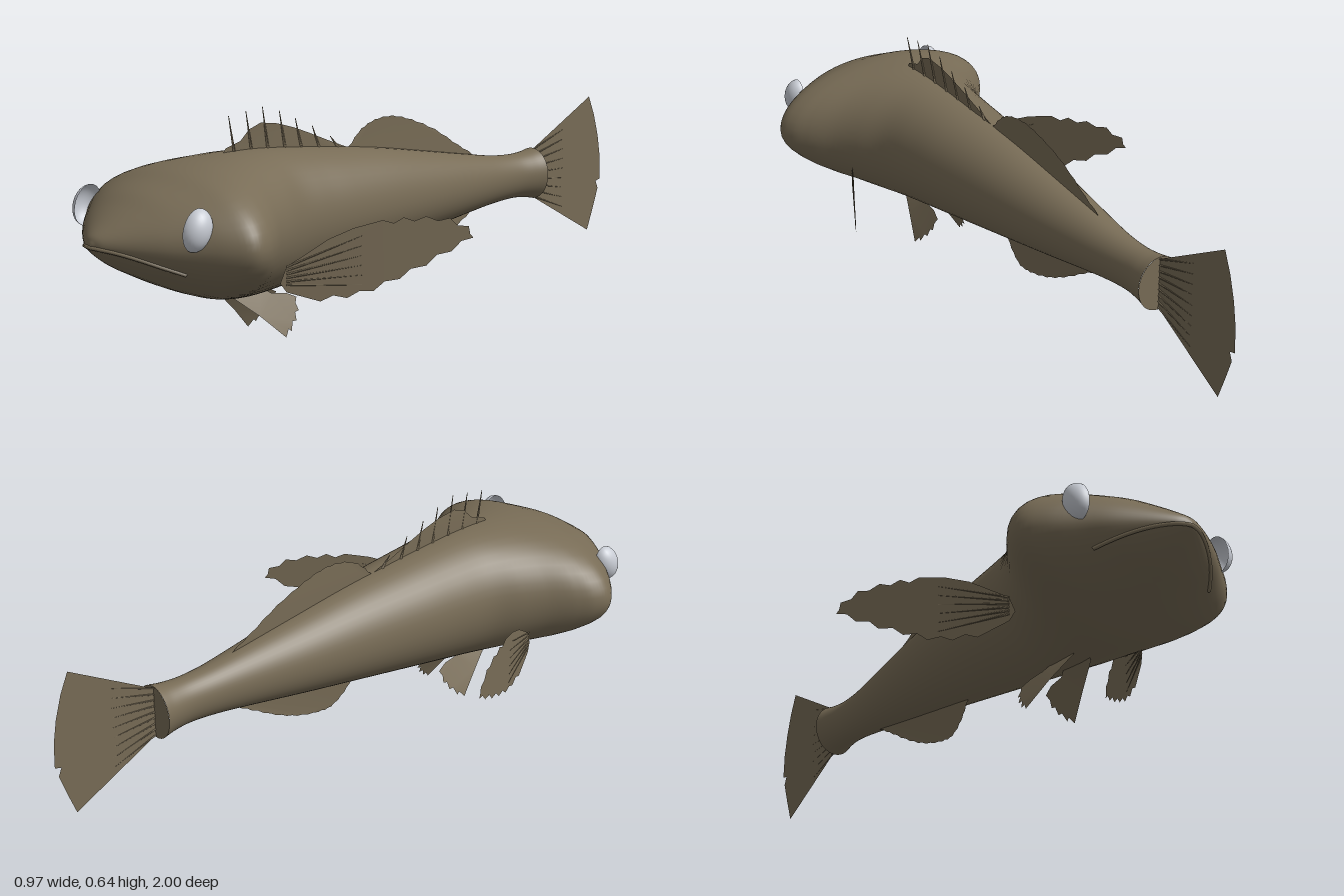
import * as THREE from 'three';
import { ParametricGeometry } from 'three/addons/geometries/ParametricGeometry.js';

const skin = new THREE.MeshStandardMaterial({ color: 0x786c56 });
skin.name = 'olive brown skin';
const finSkin = new THREE.MeshStandardMaterial({ color: 0x786c56, side: THREE.DoubleSide });
finSkin.name = 'olive brown fin';
const eyeWhite = new THREE.MeshStandardMaterial({ color: 0xc8ccd4, side: THREE.DoubleSide });
eyeWhite.name = 'silver eye';

// Body stations, tail to nose: z, half width, top, bottom
const MID = 0.333;
const stations = [
  [-0.68, 0.07, 0.41, 0.25], [-0.64, 0.062, 0.403, 0.258], [-0.58, 0.056, 0.4, 0.262], [-0.5, 0.061, 0.405, 0.257],
  [-0.4, 0.075, 0.42, 0.245], [-0.2, 0.107, 0.453, 0.217], [0, 0.135, 0.485, 0.19], [0.2, 0.16, 0.508, 0.162],
  [0.32, 0.174, 0.52, 0.145], [0.42, 0.192, 0.528, 0.133], [0.5, 0.228, 0.53, 0.129], [0.57, 0.268, 0.528, 0.131],
  [0.64, 0.322, 0.521, 0.141], [0.69, 0.353, 0.513, 0.156], [0.74, 0.359, 0.5, 0.175], [0.79, 0.318, 0.48, 0.197],
  [0.85, 0.243, 0.454, 0.226], [0.9, 0.18, 0.422, 0.252], [0.95, 0.105, 0.387, 0.285], [0.985, 0.045, 0.36, 0.313],
  [0.996, 0.015, 0.344, 0.325], [1, 0.001, 0.334, 0.332],
];
const widths = new THREE.CatmullRomCurve3(stations.map(s => new THREE.Vector3(s[0], s[1], 0)), false, 'catmullrom');
const heights = new THREE.CatmullRomCurve3(stations.map(s => new THREE.Vector3(s[0], s[2], s[3])), false, 'catmullrom');

function section(v) {
  const a = widths.getPoint(v), b = heights.getPoint(v);
  return { z: a.x, w: a.y, top: b.y - MID, bottom: MID - b.z };
}

function bodyPoint(u, v, target) {
  const s = section(v), a = u * Math.PI * 2, sin = Math.sin(a);
  target.set(s.w * Math.cos(a), MID + sin * (sin > 0 ? s.top : s.bottom), s.z);
}

// Finds the point of the face that lies straight behind (x, y)
function onFace(x, y) {
  let lo = 14 / (stations.length - 1), hi = 1;
  for (let i = 0; i < 30; i++) {
    const v = (lo + hi) / 2, s = section(v);
    const h = y > MID ? s.top : s.bottom;
    if ((x / s.w) ** 2 + ((y - MID) / h) ** 2 < 1) lo = v; else hi = v;
  }
  return new THREE.Vector3(x, y, section(lo).z);
}

function add(parent, name, geometry, material) {
  const mesh = new THREE.Mesh(geometry, material);
  mesh.name = name;
  parent.add(mesh);
  return mesh;
}

// Thin fin from a side outline of [z, y]; place(z, y) gives x
function fin(parent, name, outline, place) {
  const geo = new THREE.ShapeGeometry(new THREE.Shape(outline.map(p => new THREE.Vector2(p[0], p[1]))));
  const pos = geo.attributes.position;
  for (let i = 0; i < pos.count; i++) {
    const z = pos.getX(i), y = pos.getY(i);
    pos.setXYZ(i, place(z, y), y, z);
  }
  geo.computeVertexNormals();
  return add(parent, name, geo, finSkin);
}

// Cuts small teeth along an open edge of [z, y] points
function ragged(edge, steps, depth) {
  const curve = new THREE.CatmullRomCurve3(edge.map(p => new THREE.Vector3(p[0], p[1], 0)));
  const out = [];
  for (let i = 0; i <= steps; i++) {
    const p = curve.getPoint(i / steps), t = curve.getTangent(i / steps);
    const d = i % 2 ? depth : 0;
    out.push([p.x - t.y * d, p.y + t.x * d]);
  }
  return out;
}

// Tapered ray between two points
function ray(parent, name, a, b, radius) {
  const dir = b.clone().sub(a);
  const mesh = add(parent, name, new THREE.CylinderGeometry(radius * 0.2, radius, dir.length(), 5), finSkin);
  mesh.position.copy(a).add(b).multiplyScalar(0.5);
  mesh.quaternion.setFromUnitVectors(new THREE.Vector3(0, 1, 0), dir.normalize());
}

export function createModel() {
  const fish = new THREE.Group();
  fish.name = 'fish';

  // Body with a flat tail stump
  add(fish, 'body', new ParametricGeometry(bodyPoint, 48, 96), skin);
  const stump = add(fish, 'tailStump', new THREE.CircleGeometry(1, 32), skin);
  stump.scale.set(0.07, 0.08, 1);
  stump.rotation.y = Math.PI;
  stump.position.set(0, 0.33, -0.68);

  // Mouth: a low curved lip over the face
  const lip = [];
  for (let i = -12; i <= 12; i++) {
    const x = i / 12 * 0.2;
    lip.push(onFace(x, 0.328 - 1.6 * x * x));
  }
  add(fish, 'lip', new THREE.TubeGeometry(new THREE.CatmullRomCurve3(lip), 48, 0.006, 6), skin);

  // Tail fin with short rays
  const lean = 0.008;
  fin(fish, 'tailFin', [[-0.66, 0.4], [-0.69, 0.41], [-0.94, 0.55], [-0.965, 0.49], [-0.985, 0.42], [-0.997, 0.35],
    [-1, 0.275], [-0.98, 0.27], [-0.99, 0.245], [-0.968, 0.18], [-0.943, 0.112], [-0.69, 0.25], [-0.66, 0.26]],
    z => (-0.68 - z) / 0.32 * lean);
  for (let i = 0; i < 9; i++) {
    const t = i / 8 - 0.5;
    ray(fish, 'tailRay', new THREE.Vector3(0, 0.33 + t * 0.14, -0.67),
      new THREE.Vector3(0.004, 0.33 + t * 0.25, -0.82), 0.003);
  }

  // Spiny front dorsal fin
  const dorsalX = (z, y) => Math.max(0, y - 0.53) * 0.09;
  fin(fish, 'frontDorsalFin', [[0.57, 0.51], [0.55, 0.54], [0.5, 0.555], [0.47, 0.585], [0.43, 0.6], [0.37, 0.592],
    [0.31, 0.575], [0.25, 0.553], [0.18, 0.525], [0.1, 0.495], [0.1, 0.46], [0.55, 0.46]], dorsalX);
  for (const [z, y] of [[0.545, 0.63], [0.485, 0.638], [0.427, 0.645], [0.365, 0.627], [0.305, 0.6], [0.24, 0.572], [0.17, 0.535]]) {
    ray(fish, 'dorsalSpine', new THREE.Vector3(0, 0.5, z - 0.03), new THREE.Vector3(dorsalX(z, y), y, z), 0.005);
  }

  // Soft rear dorsal fin and anal fin
  fin(fish, 'rearDorsalFin', [[0.11, 0.46], ...ragged([[0.1, 0.497], [0.05, 0.545], [0, 0.567], [-0.07, 0.572],
    [-0.15, 0.553], [-0.25, 0.513], [-0.35, 0.455], [-0.43, 0.412]], 28, 0.003), [-0.42, 0.39]], dorsalX);
  fin(fish, 'analFin', [[0.05, 0.22], ...ragged([[0.035, 0.182], [0, 0.135], [-0.05, 0.101], [-0.1, 0.101],
    [-0.18, 0.12], [-0.26, 0.155], [-0.35, 0.207], [-0.42, 0.247]], 28, -0.003), [-0.42, 0.27]],
    (z, y) => Math.max(0, 0.18 - y) * 0.08);

  // Paired parts, built on the left and mirrored
  for (const side of [1, -1]) {
    const half = new THREE.Group();
    half.name = side > 0 ? 'leftSide' : 'rightSide';
    half.scale.x = side;
    fish.add(half);

    const eye = add(half, 'eye', new THREE.SphereGeometry(1, 24, 12, 0, Math.PI * 2, 0, Math.PI / 2), eyeWhite);
    eye.rotation.set(-0.35, 0, -Math.PI / 2);
    eye.scale.set(0.058, 0.04, 0.042);
    eye.position.set(0.24, 0.388, 0.838);

    // Pectoral fin swept back and outwards
    const pectoralX = z => 0.235 + (0.52 - z) * 0.567;
    fin(half, 'pectoralFin', [[0.545, 0.2], [0.53, 0.245], [0.43, 0.315], [0.37, 0.342],
      ...ragged([[0.3, 0.36], [0.22, 0.366], [0.13, 0.355], [0.075, 0.31], [0.15, 0.255], [0.25, 0.2], [0.35, 0.157],
        [0.45, 0.145]], 22, 0.012), [0.53, 0.175]], pectoralX);
    for (let i = 0; i < 6; i++) {
      const y0 = 0.195 + i * 0.01, y1 = 0.185 + i * 0.027;
      ray(half, 'pectoralRay', new THREE.Vector3(pectoralX(0.53), y0, 0.53),
        new THREE.Vector3(pectoralX(0.35), y1, 0.35), 0.003);
    }

    // Pelvic fin below the throat
    fin(half, 'pelvicFin', [[0.55, 0.14], [0.55, 0.125], [0.48, 0.068], [0.41, 0.002], [0.395, 0.022], [0.385, 0.015],
      [0.375, 0.04], [0.36, 0.04], [0.357, 0.062], [0.343, 0.065], [0.347, 0.085], [0.338, 0.1], [0.37, 0.115],
      [0.42, 0.122], [0.45, 0.14]], (z, y) => 0.02 + 0.065 * Math.pow(Math.max(0, (0.14 - y) / 0.14), 0.8));
  }
  return fish;
}
